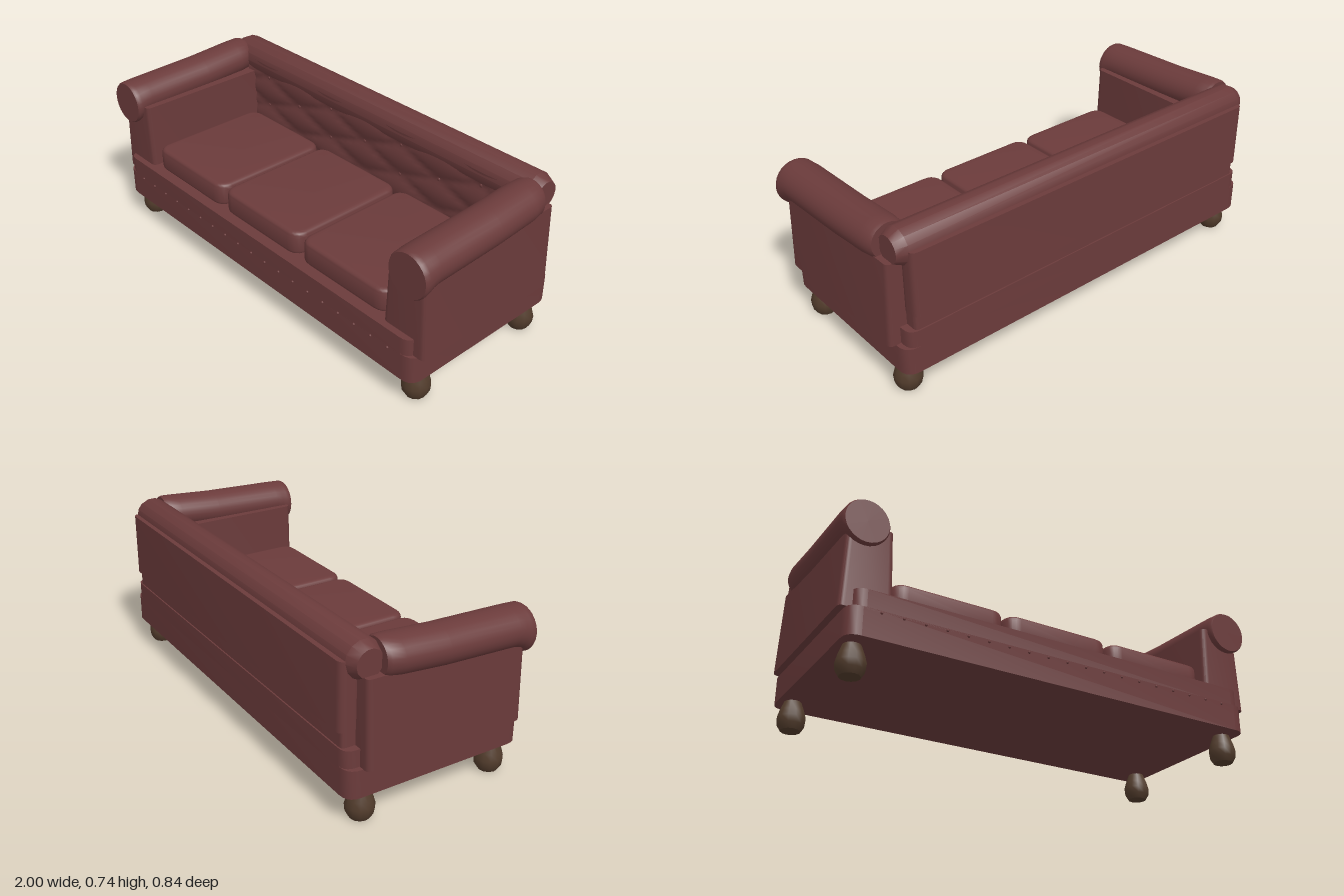
import * as THREE from 'three';
import { toCreasedNormals } from 'three/addons/utils/BufferGeometryUtils.js';

const leather = new THREE.MeshStandardMaterial({ color: 0x6b3b3b });
leather.name = 'maroon leather';
const wood = new THREE.MeshStandardMaterial({ color: 0x523c2c });
wood.name = 'brown wood';

function add(parent, name, geometry, material = leather) {
  const mesh = new THREE.Mesh(geometry, material);
  mesh.name = name;
  parent.add(mesh);
  return mesh;
}

// Upright block with rounded vertical corners and optional bevelled rims
function slab(x0, x1, y0, y1, z0, z1, r, bevel = 0) {
  const a = x0 + bevel, b = x1 - bevel, c = -z1 + bevel, d = -z0 - bevel;
  const s = new THREE.Shape();
  s.moveTo(a + r, c);
  s.lineTo(b - r, c);
  s.quadraticCurveTo(b, c, b, c + r);
  s.lineTo(b, d - r);
  s.quadraticCurveTo(b, d, b - r, d);
  s.lineTo(a + r, d);
  s.quadraticCurveTo(a, d, a, d - r);
  s.lineTo(a, c + r);
  s.quadraticCurveTo(a, c, a + r, c);
  const g = new THREE.ExtrudeGeometry(s, {
    depth: y1 - y0 - 2 * bevel, curveSegments: 5,
    bevelEnabled: bevel > 0, bevelSize: bevel, bevelThickness: bevel, bevelSegments: 4,
  });
  g.rotateX(-Math.PI / 2);
  g.translate(0, y0 + bevel, 0);
  return toCreasedNormals(g, 0.6);
}

// Arm roll sections: z, bottom y, top y, half width
const rollSections = [
  [-0.27, 0.59, 0.74, 0.075], [-0.255, 0.584, 0.744, 0.085], [-0.2, 0.579, 0.74, 0.094],
  [0, 0.562, 0.726, 0.095], [0.33, 0.548, 0.715, 0.096], [0.36, 0.538, 0.714, 0.097],
  [0.385, 0.519, 0.713, 0.097], [0.402, 0.516, 0.712, 0.097], [0.41, 0.521, 0.707, 0.092],
];

function armRoll(x) {
  const n = rollSections.length - 1;
  const g = new THREE.CylinderGeometry(1, 1, n, 28, n);
  g.rotateX(Math.PI / 2);
  const p = g.attributes.position;
  for (let i = 0; i < p.count; i++) {
    const [z, low, high, half] = rollSections[Math.round(p.getZ(i) + n / 2)];
    p.setXYZ(i, x + p.getX(i) * half, (low + high) / 2 + p.getY(i) * (high - low) / 2, z);
  }
  return toCreasedNormals(g, 0.7);
}

// Diamond-tufted surface, deepest at the buttons
const tuftZ = (x, y) => {
  const i = x / 0.225, j = (y - 0.54) / 0.0725;
  const puff = Math.abs(Math.sin(Math.PI * (i + j) / 2) * Math.sin(Math.PI * (i - j) / 2));
  return -0.255 + 0.015 * Math.sqrt(puff);
};

function tuftedPanel() {
  const g = new THREE.PlaneGeometry(1.64, 0.37, 96, 24);
  g.translate(0, 0.497, 0);
  const p = g.attributes.position;
  for (let i = 0; i < p.count; i++) p.setZ(i, tuftZ(p.getX(i), p.getY(i)));
  g.computeVertexNormals();
  return g;
}

export function createModel() {
  const sofa = new THREE.Group();
  sofa.name = 'sofa';

  // Base with a narrower upper step for the arms
  add(sofa, 'baseLower', slab(-0.955, 0.955, 0.127, 0.248, -0.41, 0.41, 0.06));
  add(sofa, 'baseUpper', slab(-0.932, 0.932, 0.24, 0.323, -0.41, 0.41, 0.05));

  // Studs along the base front
  const stud = new THREE.SphereGeometry(0.006, 8, 6);
  for (let i = -9; i <= 9; i++) {
    add(sofa, 'baseStud', stud).position.set(i * 0.0915, 0.238, 0.411);
  }

  // Seat cushions
  for (const x of [-0.51, -0.003, 0.507]) {
    add(sofa, 'seatCushion', slab(x - 0.248, x + 0.248, 0.312, 0.422, -0.225, 0.362, 0.04, 0.022));
  }

  // Backrest: frame, outer panel, tufting, buttons and top roll
  add(sofa, 'backFrame', slab(-0.9, 0.9, 0.3, 0.66, -0.404, -0.27, 0.02));
  add(sofa, 'backPanel', slab(-0.905, 0.905, 0.39, 0.676, -0.418, -0.33, 0.03));
  add(sofa, 'tuftedBack', tuftedPanel());
  const button = new THREE.SphereGeometry(0.009, 10, 8);
  for (let j = -1; j <= 1; j++) {
    for (let i = -3; i <= 3; i++) {
      if ((i + j) % 2 !== 0) continue;
      const x = i * 0.225, y = 0.54 + j * 0.0725;
      const b = add(sofa, 'backButton', button);
      b.position.set(x, y, tuftZ(x, y));
      b.scale.z = 0.6;
    }
  }
  const rollProfile = [[0, -0.943], [0.058, -0.943], [0.08, -0.9], [0.08, 0.9], [0.058, 0.943], [0, 0.943]]
    .map(([r, y]) => new THREE.Vector2(r, y));
  const backRoll = toCreasedNormals(new THREE.LatheGeometry(rollProfile, 14), 0.55);
  backRoll.rotateZ(Math.PI / 2);
  backRoll.translate(0, 0.665, -0.319);
  add(sofa, 'backRoll', backRoll);

  // Arms: bodies narrow slightly towards the top
  const legProfile = [[0, 0], [0.042, 0], [0.057, 0.025], [0.06, 0.055], [0.052, 0.085], [0.036, 0.128], [0, 0.128]]
    .map(([r, y]) => new THREE.Vector2(r, y));
  const leg = toCreasedNormals(new THREE.LatheGeometry(legProfile, 12), 0.7);
  for (const side of [-1, 1]) {
    const body = slab(-0.11, 0.11, 0.247, 0.617, -0.345, 0.381, 0.025);
    const p = body.attributes.position;
    for (let i = 0; i < p.count; i++) {
      const t = (p.getY(i) - 0.247) / 0.37;
      p.setX(i, side * 0.873 + p.getX(i) * (1 - 0.14 * t));
    }
    add(sofa, side > 0 ? 'leftArm' : 'rightArm', body);
    add(sofa, side > 0 ? 'leftArmRoll' : 'rightArmRoll', armRoll(side * 0.903));

    // Turned feet
    for (const z of [-0.314, 0.314]) {
      add(sofa, z > 0 ? 'frontLeg' : 'backLeg', leg, wood).position.set(side * 0.893, 0, z);
    }
  }
  return sofa;
}
